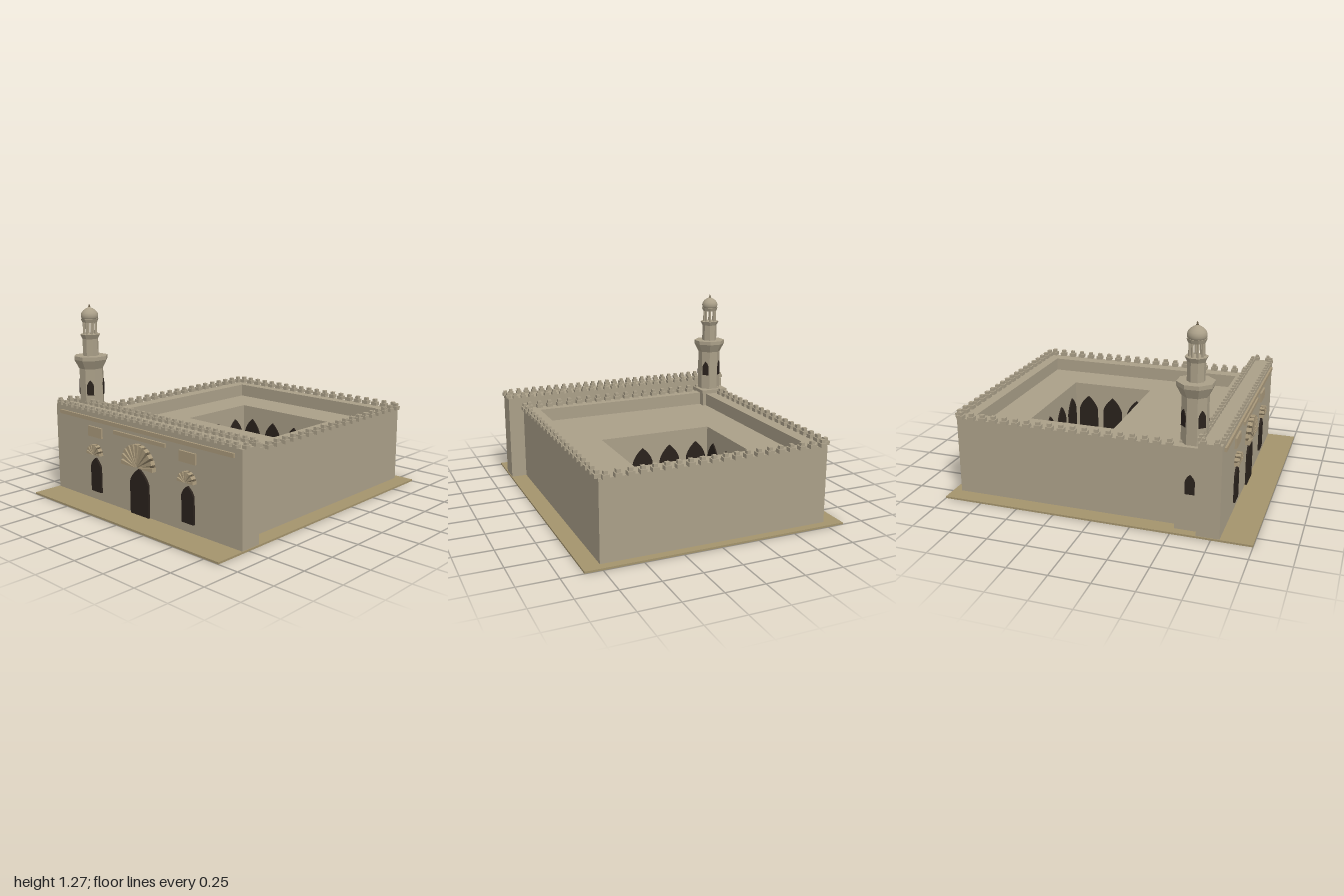
import * as THREE from 'three';
import { mergeGeometries } from 'three/addons/utils/BufferGeometryUtils.js';

const paint = (color, extra = {}) => new THREE.MeshStandardMaterial({ color, ...extra });

export function createModel() {
  const model = new THREE.Group();
  const stone = paint(0xaa9f88), facetStone = paint(0xaa9f88, { flatShading: true });
  const sand = paint(0xa3936c), trim = paint(0xa8987a), shade = paint(0x6b5f4a), dark = paint(0x2a221c);

  const add = (name, geometry, material, x = 0, y = 0, z = 0, turn = 0, parent = model) => {
    const mesh = new THREE.Mesh(geometry, material);
    mesh.name = name;
    mesh.position.set(x, y, z);
    mesh.rotation.y = turn;
    parent.add(mesh);
    return mesh;
  };
  // Box given by its lower and upper limits
  const block = (name, material, x0, x1, y0, y1, z0, z1, parent = model) =>
    add(name, new THREE.BoxGeometry(x1 - x0, y1 - y0, z1 - z0), material,
      (x0 + x1) / 2, (y0 + y1) / 2, (z0 + z1) / 2, 0, parent);
  const extrude = (shape, depth) =>
    new THREE.ExtrudeGeometry(shape, { depth, bevelEnabled: false, curveSegments: 6 });

  // Rectangular ring seen from above, raised from the ground
  const rectangle = (Type, x, z0, z1) => {
    const r = new Type();
    r.moveTo(-x, -z1).lineTo(x, -z1).lineTo(x, -z0).lineTo(-x, -z0).closePath();
    return r;
  };
  const ring = (name, outer, inner, height) => {
    const shape = rectangle(THREE.Shape, ...outer);
    shape.holes.push(rectangle(THREE.Path, ...inner));
    add(name, extrude(shape, height).rotateX(-Math.PI / 2), stone);
  };

  // Thin pointed-arch panel standing on its base, facing local +z
  const arch = (name, w, spring, h, x, y, z, turn = 0, parent = model, depth = 0.012) => {
    const s = new THREE.Shape();
    s.moveTo(-w / 2, 0).lineTo(w / 2, 0).lineTo(w / 2, spring);
    s.quadraticCurveTo(w * 0.4, spring + (h - spring) * 0.55, 0, h);
    s.quadraticCurveTo(-w * 0.4, spring + (h - spring) * 0.55, -w / 2, spring);
    add(name, extrude(s, depth).translate(0, 0, -depth / 2), dark, x, y, z, turn, parent);
  };

  // Row of stepped merlons between two points
  const merlons = (name, n, [x0, z0], [x1, z1], y, w, h) => {
    const parts = [];
    for (let i = 0; i < n; i++) {
      const t = n > 1 ? i / (n - 1) : 0;
      const x = x0 + (x1 - x0) * t, z = z0 + (z1 - z0) * t;
      parts.push(new THREE.BoxGeometry(w, h * 0.55, w).translate(x, y + h * 0.275, z));
      parts.push(new THREE.BoxGeometry(w * 0.62, h * 0.45, w * 0.62).translate(x, y + h * 0.775, z));
    }
    add(name, mergeGeometries(parts), stone);
  };

  // Ground, outer walls, sunken roof around the courtyard, front range
  block('ground', sand, -0.86, 0.86, 0, 0.012, -1, 1);
  ring('outerWalls', [0.75, -0.945, 0.66], [0.65, -0.855, 0.57], 0.52);
  ring('roof', [0.655, -0.86, 0.575], [0.395, -0.595, -0.01], 0.43);
  block('frontRange', stone, -0.855, 0.855, 0.005, 0.6, 0.66, 0.802);

  // Battlements
  for (const s of [-1, 1]) {
    merlons('sideBattlement', 21, [s * 0.75, -0.915], [s * 0.75, 0.618], 0.52, 0.042, 0.045);
    merlons('frontRangeEndBattlement', 2, [s * 0.852, 0.69], [s * 0.852, 0.77], 0.6, 0.034, 0.036);
  }
  merlons('backBattlement', 20, [-0.71, -0.945], [0.71, -0.945], 0.52, 0.042, 0.045);
  merlons('innerBattlement', 20, [-0.71, 0.645], [0.71, 0.645], 0.52, 0.042, 0.045);
  for (const z of [0.665, 0.798])
    merlons('frontRangeBattlement', 29, [-0.805, z], [0.805, z], 0.6, 0.034, 0.036);

  // Courtyard arcade
  for (let i = 0; i < 4; i++) {
    const x = -0.302 + i * 0.2013;
    arch('courtyardArch', 0.145, 0.22, 0.325, x, 0.01, -0.592);
    arch('courtyardArch', 0.145, 0.22, 0.325, x, 0.01, -0.013, Math.PI);
  }
  for (let i = 0; i < 3; i++)
    for (const s of [-1, 1])
      arch('courtyardArch', 0.145, 0.22, 0.325, s * 0.392, 0.01, -0.492 + i * 0.19, -s * Math.PI / 2);

  // Ribbed half-round hood
  const hood = (r, ribs, x, y) => {
    const g = new THREE.Group();
    g.name = 'shellHood';
    g.position.set(x, y, 0.8);
    model.add(g);
    const back = new THREE.Shape();
    back.absarc(0, 0, r * 0.98, 0, Math.PI, false);
    back.closePath();
    add('hoodBack', extrude(back, 0.015), shade, 0, 0, 0, 0, g);
    const step = Math.PI / (ribs + (ribs - 1) * 0.55), parts = [];
    for (let i = 0; i < ribs; i++) {
      const a = i * step * 1.55, s = new THREE.Shape();
      s.moveTo(Math.cos(a) * r * 0.1, Math.sin(a) * r * 0.1);
      s.lineTo(Math.cos(a) * r, Math.sin(a) * r);
      s.lineTo(Math.cos(a + step) * r, Math.sin(a + step) * r);
      s.lineTo(Math.cos(a + step) * r * 0.1, Math.sin(a + step) * r * 0.1);
      parts.push(extrude(s, 0.034));
    }
    add('hoodRibs', mergeGeometries(parts), trim, 0, 0, 0, 0, g);
  };

  // Facade
  arch('door', 0.17, 0.21, 0.305, 0, 0.01, 0.805, 0, model, 0.02);
  hood(0.148, 11, 0, 0.325);
  for (const s of [-1, 1]) {
    arch('facadeWindow', 0.1, 0.17, 0.23, s * 0.43, 0.07, 0.805, 0, model, 0.02);
    hood(0.068, 7, s * 0.43, 0.325);
    block('facadePanel', trim, s * 0.43 - 0.068, s * 0.43 + 0.068, 0.44, 0.507, 0.795, 0.815);
  }
  block('doorPanel', trim, -0.24, 0.24, 0.495, 0.52, 0.795, 0.815);
  block('facadeBand', trim, -0.8, 0.8, 0.544, 0.57, 0.795, 0.815);

  // Minaret: square base, octagonal stages, open lantern and dome
  const tower = new THREE.Group();
  tower.name = 'minaret';
  tower.position.set(-0.715, 0, 0.605);
  model.add(tower);
  block('towerBase', stone, -0.09, 0.09, 0.005, 0.53, -0.09, 0.09, tower);
  block('towerCornice', stone, -0.105, 0.105, 0.53, 0.552, -0.105, 0.105, tower);
  arch('towerBaseWindow', 0.06, 0.08, 0.125, -0.09, 0.25, 0, -Math.PI / 2, tower);
  // Octagonal stage; radii are measured to the flat faces
  const octagon = (name, low, high, y0, y1) => add(name,
    new THREE.CylinderGeometry(high / Math.cos(Math.PI / 8), low / Math.cos(Math.PI / 8), y1 - y0, 8)
      .rotateY(Math.PI / 8), facetStone, 0, (y0 + y1) / 2, 0, 0, tower);
  octagon('lowerShaft', 0.076, 0.076, 0.55, 0.845);
  octagon('galleryFlare', 0.077, 0.106, 0.84, 0.9);
  octagon('gallery', 0.106, 0.106, 0.9, 0.925);
  octagon('upperShaft', 0.05, 0.05, 0.92, 1.045);
  octagon('balcony', 0.05, 0.064, 1.04, 1.07);
  for (let i = 0; i < 4; i++) {
    const a = Math.PI / 4 + i * Math.PI / 2;
    arch('shaftWindow', 0.046, 0.065, 0.105, Math.sin(a) * 0.076, 0.66, Math.cos(a) * 0.076, a, tower);
  }
  for (let i = 0; i < 8; i++) {
    const a = (i + 0.5) * Math.PI / 4;
    add('lanternColumn', new THREE.CylinderGeometry(0.007, 0.007, 0.09, 8), stone,
      Math.sin(a) * 0.042, 1.11, Math.cos(a) * 0.042, 0, tower);
  }
  octagon('lanternCornice', 0.047, 0.056, 1.15, 1.175);
  const lathe = (name, pts, material) =>
    add(name, new THREE.LatheGeometry(pts.map(p => new THREE.Vector2(...p)), 32), material, 0, 0, 0, 0, tower);
  lathe('dome', [[0, 1.172], [0.052, 1.172], [0.057, 1.185], [0.058, 1.2], [0.053, 1.215],
    [0.041, 1.23], [0.024, 1.242], [0.008, 1.25], [0, 1.252]], stone);
  lathe('finial', [[0.004, 1.245], [0.008, 1.253], [0.004, 1.259], [0.005, 1.263], [0, 1.275]], shade);
  return model;
}
